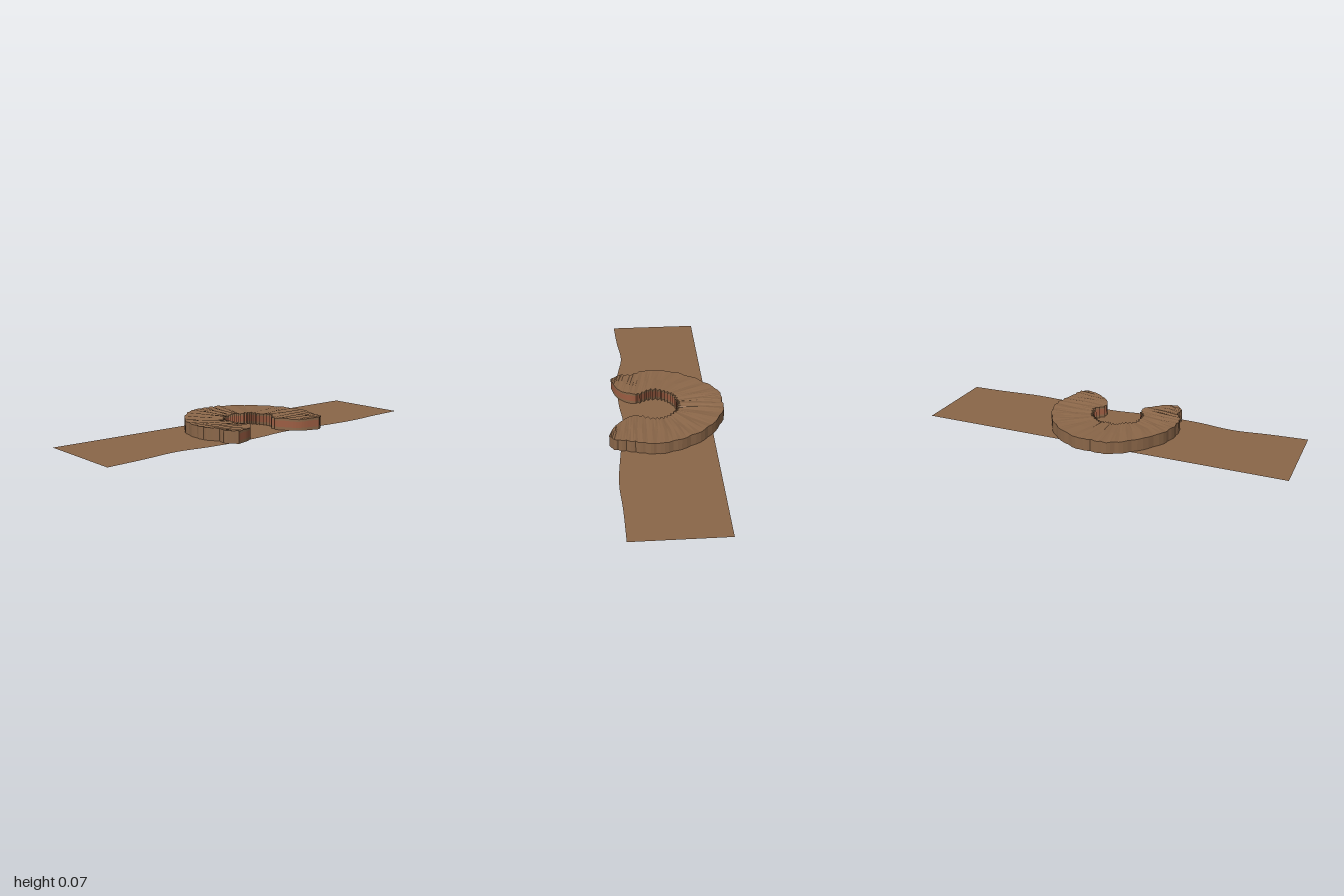
import * as THREE from 'three';

const earth = new THREE.MeshStandardMaterial({ color: 0x8b6749, side: THREE.DoubleSide });
earth.name = 'brown earth';
const clay = new THREE.MeshStandardMaterial({ color: 0x9c5d42, side: THREE.DoubleSide });
clay.name = 'red clay';

// Faceted strip between two rows of points of equal length
function loft(name, rowA, rowB, material) {
  const pos = [];
  for (let i = 0; i < rowA.length - 1; i++) {
    for (const p of [rowA[i], rowA[i + 1], rowB[i + 1], rowA[i], rowB[i + 1], rowB[i]]) {
      pos.push(p.x, p.y, p.z);
    }
  }
  const geo = new THREE.BufferGeometry();
  geo.setAttribute('position', new THREE.Float32BufferAttribute(pos, 3));
  geo.computeVertexNormals();
  const mesh = new THREE.Mesh(geo, material);
  mesh.name = name;
  return mesh;
}

const curve = (pts) => new THREE.CatmullRomCurve3(pts.map(([x, z]) => new THREE.Vector3(x, 0, z)));
const atHeight = (row, f) => row.map((p) => new THREE.Vector3(p.x, p.y * f, p.z));

export function createModel() {
  const model = new THREE.Group();
  model.name = 'earthwork';

  // Thin ground sheet with a wavy front edge
  const edge = curve([[-1, 0.262], [-0.8, 0.247], [-0.6, 0.226], [-0.42, 0.25], [-0.27, 0.257],
    [-0.1, 0.25], [0.09, 0.229], [0.18, 0.235], [0.34, 0.25], [0.59, 0.264], [0.78, 0.25], [1, 0.24]]);
  const front = edge.getPoints(60);
  const back = front.map((p) => new THREE.Vector3(p.x, 0, -0.235));
  model.add(loft('groundSheet', front, back, earth));

  // Paired outlines of the horseshoe bank, left tip to right tip through the back
  const outerCurve = curve([[-0.268, 0.29], [-0.31, 0.235], [-0.305, 0.18], [-0.338, 0.12], [-0.345, 0.05],
    [-0.315, -0.08], [-0.2, -0.23], [-0.09, -0.303], [0, -0.305], [0.08, -0.303], [0.24, -0.205],
    [0.335, -0.06], [0.366, 0.07], [0.35, 0.15], [0.33, 0.22], [0.315, 0.28], [0.28, 0.305]]);
  const innerCurve = curve([[-0.268, 0.29], [-0.18, 0.262], [-0.12, 0.205], [-0.105, 0.155], [-0.14, 0.085],
    [-0.135, 0.01], [-0.09, -0.04], [-0.045, -0.065], [0, -0.07], [0.045, -0.065], [0.09, -0.04],
    [0.125, 0.01], [0.14, 0.075], [0.1, 0.15], [0.125, 0.21], [0.185, 0.27], [0.28, 0.305]]);

  const outer = [], middle = [], inner = [];
  const N = 96;
  for (let i = 0; i <= N; i++) {
    const t = i / N;
    const o = outerCurve.getPoint(t), n = innerCurve.getPoint(t);
    const radial = o.clone().sub(n).normalize();
    // Scalloped outside, zigzag inside, both fading out at the tips
    const fade = THREE.MathUtils.smoothstep(Math.min(t, 1 - t), 0, 0.06);
    const inArc = t > 0.19 && t < 0.81 ? 1 : 0;
    o.addScaledVector(radial, fade * 0.006 * (Math.abs(Math.sin(i * Math.PI / 4)) - 0.5));
    n.addScaledVector(radial, inArc * (i % 2 ? 0.009 : -0.009));
    o.y = 0.065 + 0.002 * Math.sin(i * 1.9);
    n.y = 0.062 + 0.003 * Math.sin(i * 0.55) + 0.001 * Math.cos(i * 2.3);
    const m = o.clone().lerp(n, 0.5);
    m.y = 0.064 + 0.003 * Math.sin(i * 1.57);
    outer.push(o);
    middle.push(m);
    inner.push(n);
  }

  const bank = new THREE.Group();
  bank.name = 'horseshoeBank';
  bank.add(loft('pleatedTopOuter', middle, outer, earth));
  bank.add(loft('pleatedTopInner', inner, middle, earth));
  bank.add(loft('outerWall', outer, atHeight(outer, 0), earth));

  // Inner wall and end faces in layered bands
  [[0, 0.25, earth], [0.25, 0.8, clay], [0.8, 1, earth]].forEach(([low, high, mat], i) => {
    bank.add(loft('innerWallBand' + (i + 1), atHeight(inner, low), atHeight(inner, high), mat));
  });
  model.add(bank);
  return model;
}
